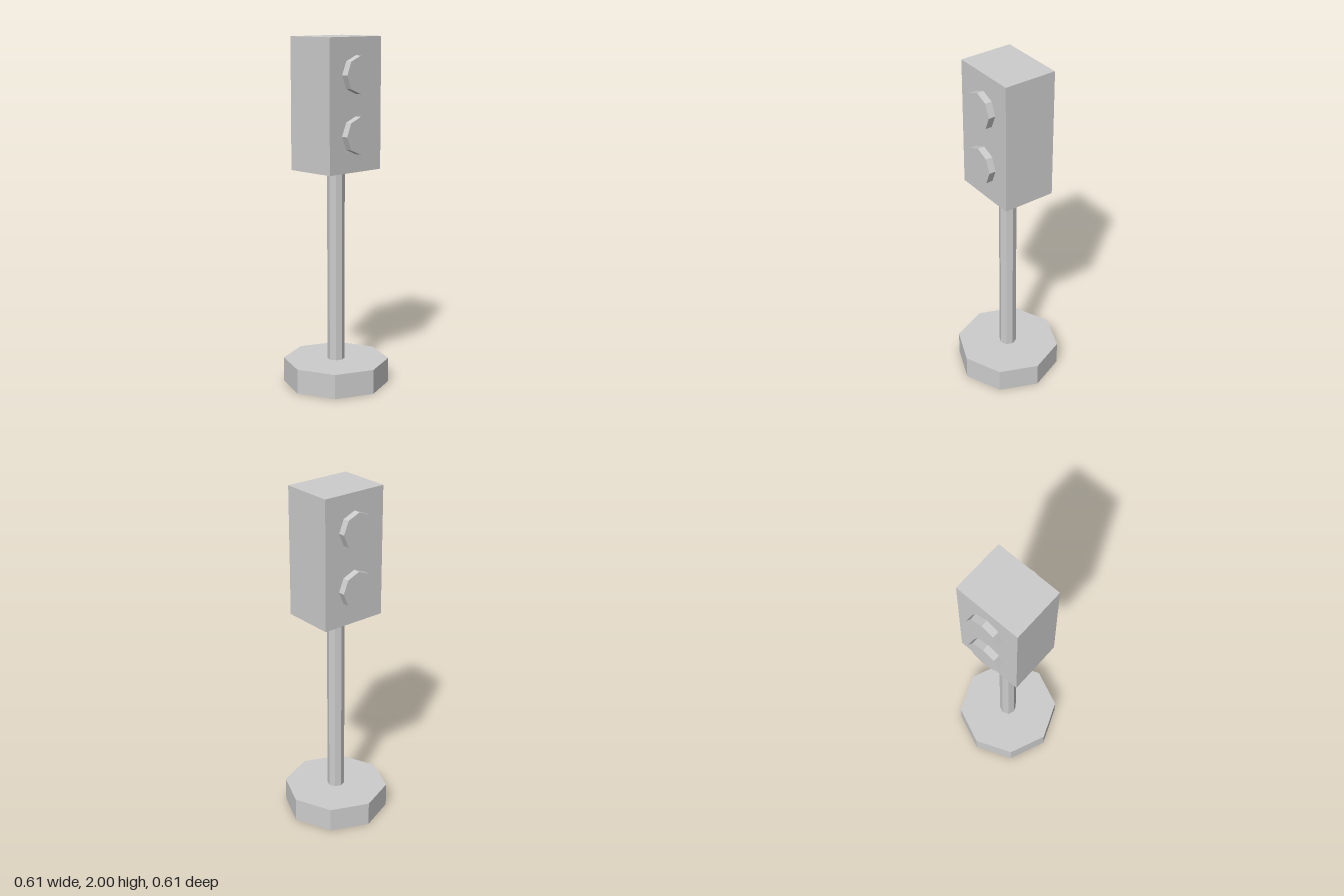
import * as THREE from 'three';

export function createModel() {
  const model = new THREE.Group();
  model.name = 'signalLight';

  const grey = new THREE.MeshStandardMaterial({ color: 0xcccccc, flatShading: true });
  grey.name = 'light grey';

  const add = (name, geometry, x, y, z) => {
    const mesh = new THREE.Mesh(geometry, grey);
    mesh.name = name;
    mesh.position.set(x, y, z);
    model.add(mesh);
  };
  const octagon = (radius, height) => new THREE.CylinderGeometry(radius, radius, height, 8);

  // Foot and post
  add('base', octagon(0.305, 0.142), 0, 0.071, 0);
  add('pole', octagon(0.05, 1.113), 0, 0.6985, 0);

  // Signal housing
  add('housing', new THREE.BoxGeometry(0.396, 0.745, 0.312), 0, 1.6275, 0);

  // Two lamps on the front and two on the back
  const lamp = octagon(0.105, 0.04).rotateX(Math.PI / 2);
  for (const [side, z] of [['front', 0.176], ['back', -0.176]]) {
    add(side + 'UpperLamp', lamp, 0, 1.795, z);
    add(side + 'LowerLamp', lamp, 0, 1.462, z);
  }

  return model;
}
